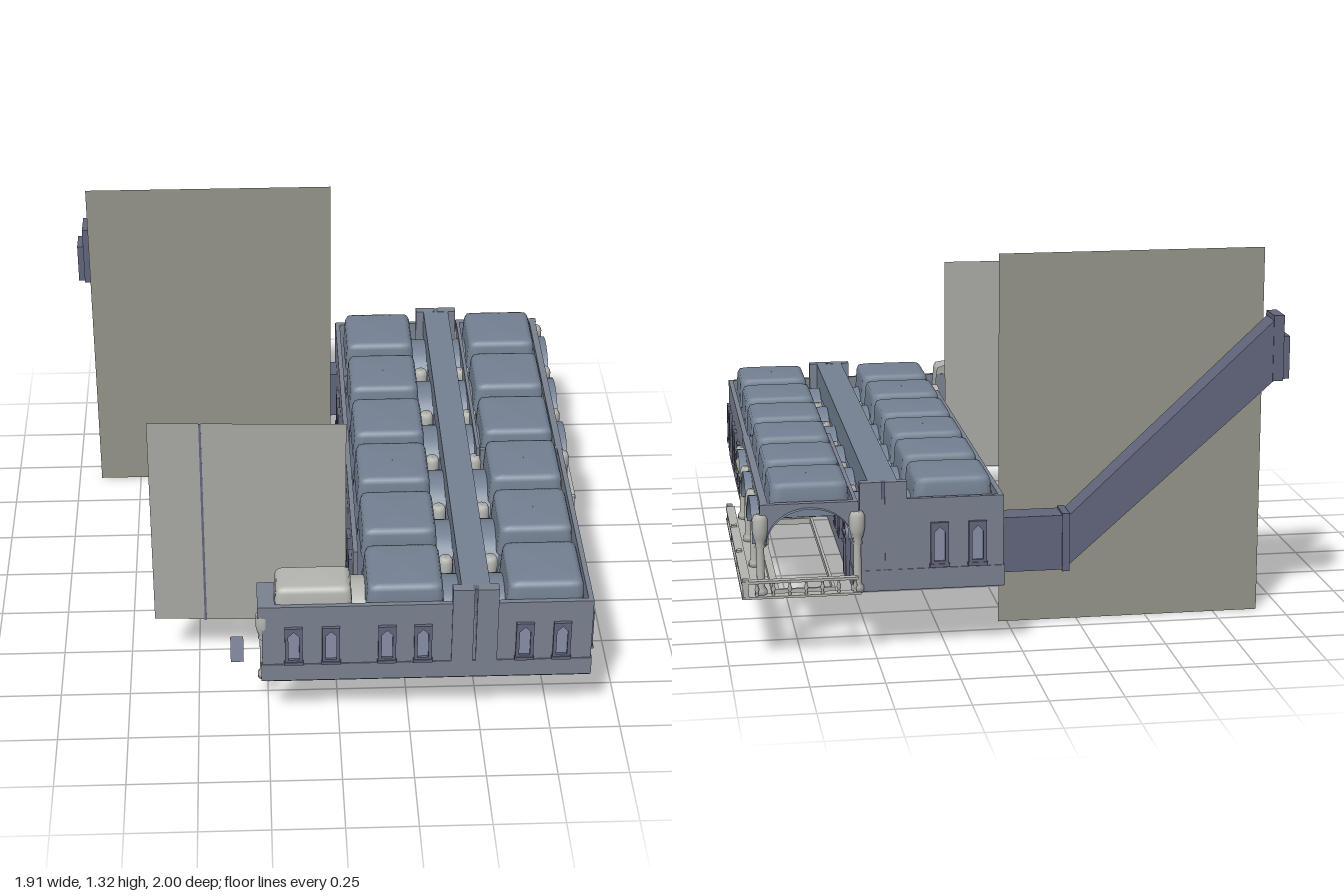
import * as THREE from 'three';

const mat = (color, side = THREE.FrontSide) => new THREE.MeshStandardMaterial({ color, side, roughness: 0.9 });
const stone = mat(0x7a8290, THREE.DoubleSide);
const roofMat = mat(0x748193, THREE.DoubleSide);
const dark = mat(0x62667c, THREE.DoubleSide);
const pale = mat(0xb4b4b0, THREE.DoubleSide);
const pane = mat(0x8790a8, THREE.DoubleSide);
const backdropMat = mat(0x96958a, THREE.DoubleSide);
const smallBackdropMat = mat(0xa9a9a4, THREE.DoubleSide);

export function createModel() {
  const root = new THREE.Group();
  const add = (name, geo, m, x = 0, y = 0, z = 0, ry = 0) => {
    const mesh = new THREE.Mesh(geo, m);
    mesh.name = name;
    mesh.position.set(x, y, z);
    mesh.rotation.y = ry;
    root.add(mesh);
    return mesh;
  };
  // Box given by its limits
  const box = (name, m, x0, x1, y0, y1, z0, z1) =>
    add(name, new THREE.BoxGeometry(x1 - x0, y1 - y0, z1 - z0), m, (x0 + x1) / 2, (y0 + y1) / 2, (z0 + z1) / 2);
  const shapeOf = pts => new THREE.Shape(pts.map(p => new THREE.Vector2(...p)));
  const holeOf = pts => new THREE.Path(pts.map(p => new THREE.Vector2(...p)));
  const extrude = (shape, depth) => new THREE.ExtrudeGeometry(shape, { depth, bevelEnabled: false, curveSegments: 16 });
  // Horizontal slab from an outline in x and z
  const slab = (name, m, shape, y, h) => {
    const g = extrude(shape, h);
    g.rotateX(Math.PI / 2);
    return add(name, g, m, 0, y, 0);
  };

  const RIGHT = Math.PI / 2, BACK = Math.PI, LEFT = -Math.PI / 2;
  const bays = [-0.8, -0.475, -0.15, 0.165, 0.49, 0.825];
  const lines = [-0.63, -0.31, 0.005, 0.33, 0.655];

  // Floor with the diagonal corner and the notch for the loggia
  slab('floor', dark, shapeOf([[0.06, -0.96], [0.57, -0.96], [0.57, 0], [0.88, 0], [0.88, 0.98],
    [-0.25, 0.98], [0.06, 0.67]]), 0.235, 0.01);

  // Outer walls with a slightly projecting plinth
  const wall = (name, x0, x1, z0, z1) => {
    box(name, stone, x0, x1, 0.23, 0.545, z0, z1);
    const e = 0.004;
    box(name + 'Plinth', stone, x0 - e, x1 + e, 0.23, 0.3, z0 - e, z1 + e);
  };
  wall('frontWall', -0.27, 0.88, 0.962, 0.98);
  wall('rightWall', 0.862, 0.88, 0, 0.962);
  wall('leftWall', 0.06, 0.078, -0.96, 0.66);
  wall('backWall', 0.078, 0.55, -0.96, -0.942);
  wall('innerWall', 0.557, 0.57, -0.942, 0);
  wall('crossWall', 0.57, 0.862, 0, 0.015);

  // Framed windows
  const frameShape = shapeOf([[-0.031, 0], [0.031, 0], [0.031, 0.15], [-0.031, 0.15]]);
  frameShape.holes.push(holeOf([[-0.019, 0.015], [0.019, 0.015], [0.019, 0.115], [0, 0.135], [-0.019, 0.115]]));
  const frameGeo = extrude(frameShape, 0.012);
  const paneGeo = new THREE.PlaneGeometry(0.05, 0.13);
  const sillGeo = new THREE.BoxGeometry(0.068, 0.012, 0.03);
  const addWindow = (x, z, ry) => {
    add('windowFrame', frameGeo, dark, x, 0.31, z, ry);
    add('windowPane', paneGeo, pane, x + Math.sin(ry) * 0.003, 0.385, z + Math.cos(ry) * 0.003, ry);
    add('windowSill', sillGeo, dark, x, 0.31, z, ry);
  };
  for (const x of [-0.16, -0.03, 0.165, 0.29, 0.645, 0.775]) addWindow(x, 0.98, 0);
  for (const c of bays.slice(3)) for (const s of [-1, 1]) addWindow(0.88, c + s * 0.065 + 0.012, RIGHT);
  for (const c of bays.slice(1, 5)) for (const s of [-1, 1]) addWindow(0.06, c + s * 0.065, LEFT);
  for (const c of bays.slice(1, 3)) for (const s of [-1, 1]) addWindow(0.57, c + s * 0.065, RIGHT);
  for (const x of [0.15, 0.28]) addWindow(x, -0.96, BACK);

  // Arched door in the inner wall
  const doorShape = (w, h) => {
    const s = new THREE.Shape();
    s.moveTo(-w, 0);
    s.lineTo(w, 0);
    s.lineTo(w, h);
    s.absarc(0, h, w, 0, Math.PI, false);
    return s;
  };
  const doorFrame = doorShape(0.048, 0.15);
  doorFrame.holes.push(doorShape(0.036, 0.15));
  add('doorFrame', extrude(doorFrame, 0.016), dark, 0.57, 0.23, -0.785, RIGHT);
  add('door', new THREE.ShapeGeometry(doorShape(0.036, 0.15)), pane, 0.579, 0.23, -0.785, RIGHT);
  add('doorLintel', new THREE.BoxGeometry(0.09, 0.01, 0.02), dark, 0.58, 0.385, -0.785, RIGHT);

  // Arch panel: rectangle with an elliptical opening cut from below
  const arch = (name, x, z, ry, w) => {
    const r = w / 2 - 0.018, h = 0.14, s = new THREE.Shape();
    s.moveTo(r, 0);
    s.lineTo(w / 2, 0);
    s.lineTo(w / 2, h);
    s.lineTo(-w / 2, h);
    s.lineTo(-w / 2, 0);
    s.lineTo(-r, 0);
    s.absellipse(0, 0, r, h - 0.02, Math.PI, 0, true);
    const g = extrude(s, 0.025);
    g.translate(0, 0, -0.0125);
    add(name, g, stone, x, 0.405, z, ry);
  };
  // Curved barrel strip spanning along x, with its axis along z
  const barrelGeo = new THREE.CylinderGeometry(1, 1, 1, 20, 1, true, Math.PI / 2, Math.PI);
  barrelGeo.rotateX(Math.PI / 2);
  const barrel = (name, m, x, z, ry, width, span = 0.27) =>
    add(name, barrelGeo, m, x, 0.405, z, ry).scale.set(span / 2, 0.125, width);
  // Column with flared capital
  const columnGeo = new THREE.LatheGeometry([[0, 0], [0.021, 0], [0.021, 0.02], [0.014, 0.03], [0.013, 0.165],
    [0.019, 0.17], [0.015, 0.18], [0.022, 0.2], [0.027, 0.225], [0.027, 0.265], [0.02, 0.28], [0, 0.28]]
    .map(p => new THREE.Vector2(...p)), 14);
  const column = (x, z) => add('column', columnGeo, pale, x, 0.23, z);

  // Open loggia at the rear of the right side
  for (const c of bays.slice(0, 3)) {
    arch('loggiaArch', 0.87, c, RIGHT, 0.325);
    barrel('loggiaArchSoffit', roofMat, 0.888, c, RIGHT, 0.045, 0.289);
  }
  arch('loggiaBackArch', 0.72, -0.955, BACK, 0.33);
  barrel('loggiaBackSoffit', roofMat, 0.72, -0.968, 0, 0.045, 0.294);
  for (const z of [-0.96, -0.63, -0.31, -0.01]) column(0.885, z);
  column(0.56, -0.965);

  // Transverse and corridor arches, with the corridor columns
  for (const z of lines) {
    for (const x of [0.225, 0.715]) barrel('transverseArch', roofMat, x, z, 0, 0.07);
    for (const x of [0.39, 0.55]) column(x, z);
  }
  for (const c of bays) for (const x of [0.39, 0.555]) barrel('corridorArch', roofMat, x, c, RIGHT, 0.065);

  // Roof vaults lofted from rounded square rings; sweep gives a full or half vault
  const vault = sweep => {
    const rings = [[0.137, 0.49], [0.134, 0.545], [0.131, 0.585], [0.125, 0.6], [0.108, 0.606], [0.001, 0.607]];
    const n = 64, pos = [], idx = [];
    rings.forEach(([r, y], j) => {
      for (let i = 0; i <= n; i++) {
        const a = i / n * sweep, c = Math.cos(a), s = Math.sin(a);
        const k = r / Math.pow(c ** 14 + s ** 14, 1 / 14);
        pos.push(k * c, y, k * s);
        const p = j * (n + 1) + i, q = p + n + 1;
        if (j < rings.length - 1 && i < n) idx.push(p, q, p + 1, p + 1, q, q + 1);
      }
    });
    const g = new THREE.BufferGeometry();
    g.setAttribute('position', new THREE.Float32BufferAttribute(pos, 3));
    g.setIndex(idx);
    g.computeVertexNormals();
    return g;
  };
  const vaultGeo = vault(Math.PI * 2);
  for (const z of bays) for (const x of [0.228, 0.715]) add('roofVault', vaultGeo, roofMat, x, 0, z);

  // Central ridge beam with its end piers
  box('ridgeBeam', roofMat, 0.42, 0.52, 0.5, 0.605, -0.95, 0.975);
  for (const [z0, z1] of [[0.95, 0.986], [-0.962, -0.93]]) {
    for (const x of [0.39, 0.475]) box('endPier', stone, x, x + 0.075, 0.3, 0.606, z0, z1);
    box('endPierCore', dark, 0.46, 0.48, 0.3, 0.606, z0 + 0.006, z1 - 0.006);
  }

  // Cut-off wing at the front: half a vault, the arch into the hall and an end corbel
  add('wingVault', vault(Math.PI), pale, -0.09, 0, 0.83);
  barrel('wingArch', pale, 0.07, 0.82, RIGHT, 0.06);
  column(-0.265, 0.955);
  box('wingEndCorbel', stone, -0.285, -0.225, 0.5, 0.545, 0.83, 0.98);

  // Loggia deck, under-frame and balustrade
  slab('loggiaDeck', pale, shapeOf([[0.88, 0], [0.95, 0], [0.95, -0.995], [0.55, -0.995], [0.55, -0.96], [0.88, -0.96]]), 0.235, 0.008);
  const under = shapeOf([[0.63, -0.03], [0.845, -0.03], [0.845, -0.91], [0.63, -0.91]]);
  under.holes.push(holeOf([[0.64, -0.04], [0.64, -0.9], [0.82, -0.9], [0.82, -0.04]]));
  slab('loggiaUnderFrame', pale, under, 0.232, 0.022);
  box('sideHandrail', pale, 0.92, 0.952, 0.28, 0.289, -0.99, -0.03);
  box('backHandrail', pale, 0.56, 0.952, 0.28, 0.289, -0.995, -0.97);
  const balusterGeo = new THREE.LatheGeometry([[0.006, 0], [0.004, 0.012], [0.008, 0.022], [0.004, 0.036], [0.006, 0.048]]
    .map(p => new THREE.Vector2(...p)), 8);
  for (let i = 0; i <= 16; i++) add('baluster', balusterGeo, pale, 0.938, 0.234, -0.04 - i * 0.058);
  for (let i = 0; i < 7; i++) add('baluster', balusterGeo, pale, 0.57 + i * 0.055, 0.234, -0.982);
  for (const z of [-0.03, -0.31, -0.63, -0.982]) box('railPost', pale, 0.928, 0.948, 0.232, 0.296, z - 0.01, z + 0.01);

  // Covered passage climbing away from the rear left bay
  const passage = (name, pts, z0, z1) => add(name, extrude(shapeOf(pts), z1 - z0), dark, 0, 0, z0);
  passage('passageLevel', [[0.06, 0.235], [-0.17, 0.235], [-0.17, 0.43], [0.06, 0.43]], -0.84, -0.74);
  passage('passageRamp', [[-0.17, 0.235], [-0.91, 0.885], [-0.91, 1.1], [-0.19, 0.43], [-0.17, 0.43]], -0.84, -0.74);
  box('passageJoint', dark, -0.19, -0.165, 0.23, 0.437, -0.845, -0.735);
  const passageRing = (name, x, w, y0, y1, depth) => {
    const s = shapeOf([[-w, y0], [w, y0], [w, y1], [-w, y1]]), t = 0.017;
    s.holes.push(holeOf([[t - w, y0 + t], [w - t, y0 + t], [w - t, y1 - t], [t - w, y1 - t]]));
    add(name, extrude(s, depth), dark, x, 0, -0.79, LEFT);
  };
  passageRing('passageEndFrame', -0.9, 0.053, 0.88, 1.11, 0.037);
  passageRing('passageEndSurround', -0.937, 0.045, 0.885, 1.035, 0.023);

  // Thin backdrop panels; the smaller one stands slightly turned, with a raised seam
  add('largeBackdrop', new THREE.PlaneGeometry(0.94, 1.32), backdropMat, -0.44, 0.66, -0.665);
  const turn = -Math.atan2(0.03, 0.69);
  const turnedPanel = (name, m, x0, x1, lift = 0) =>
    add(name, new THREE.PlaneGeometry((x1 - x0) / Math.cos(turn), 0.84), m,
      (x0 + x1) / 2, 0.65, 0.608 + ((x0 + x1) / 2 + 0.655) * 0.0435 + lift, turn);
  turnedPanel('smallBackdropOuter', smallBackdropMat, -0.655, -0.475);
  turnedPanel('smallBackdropSeam', dark, -0.475, -0.467, 0.003);
  turnedPanel('smallBackdropInner', smallBackdropMat, -0.467, 0.035);
  add('loosePane', new THREE.PlaneGeometry(0.045, 0.11), pane, -0.357, 0.385, 1.0);

  return root;
}
